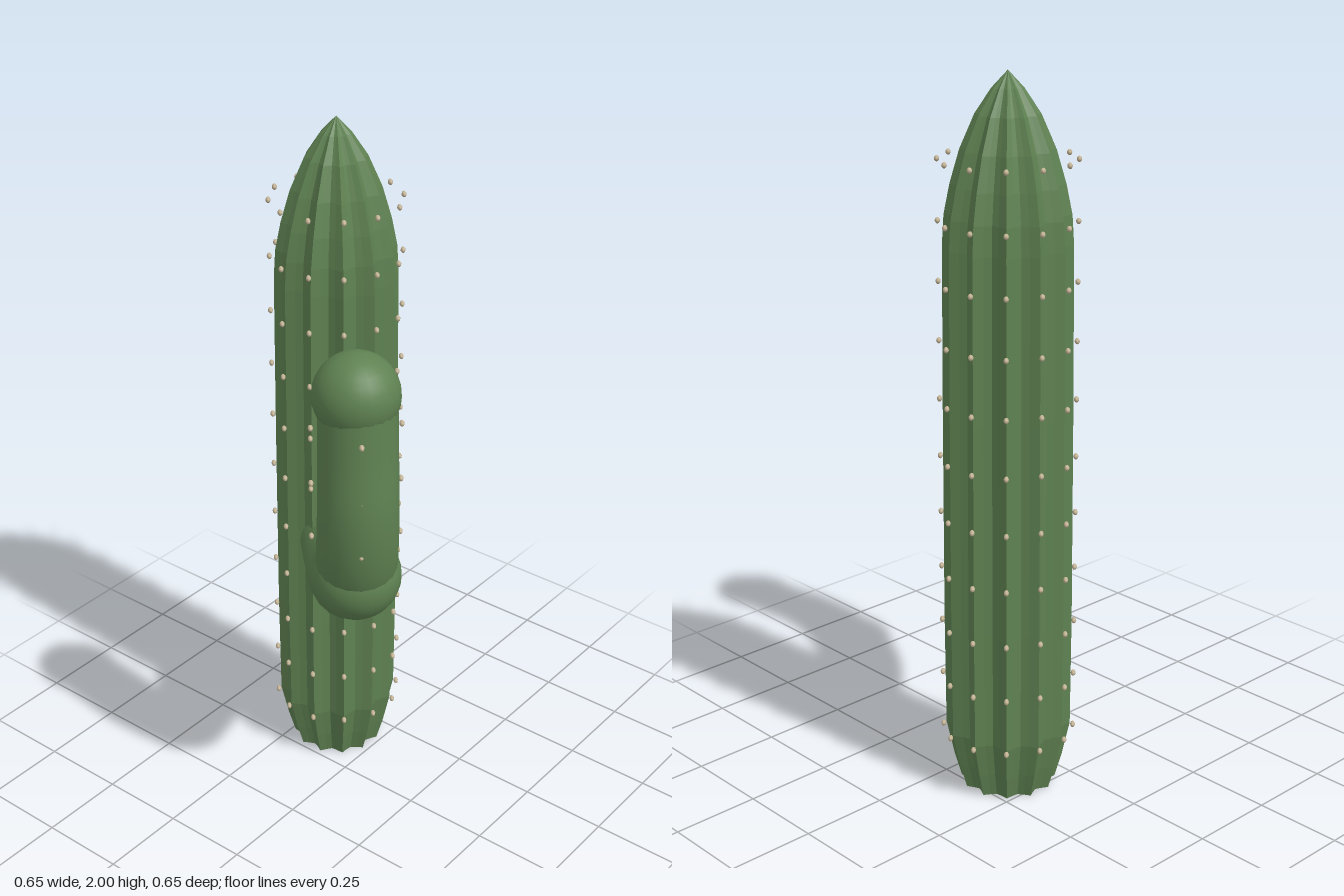
import * as THREE from 'three';

const green = new THREE.MeshStandardMaterial({ color: 0x5f8252, flatShading: true });
green.name = 'cactusGreenFaceted';
const smoothGreen = new THREE.MeshStandardMaterial({ color: 0x5f8252 });
smoothGreen.name = 'cactusGreen';
const tan = new THREE.MeshStandardMaterial({ color: 0xc4b496 });
tan.name = 'spineTan';
const brown = new THREE.MeshStandardMaterial({ color: 0x4a3526 });
brown.name = 'baseBrown';

const TX = 0.143, TZ = -0.144; // trunk axis
const AX = -0.2, AZ = 0.195;   // arm tip axis

function part(name, geometry, material, x = 0, y = 0, z = 0) {
  const mesh = new THREE.Mesh(geometry, material);
  mesh.name = name;
  mesh.position.set(x, y, z);
  return mesh;
}

// Twelve-ribbed column: a lathe whose radius is scaled by the rib shape
function trunkGeometry() {
  const profile = [[0.1, 0.02], [0.132, 0], [0.152, 0.07], [0.174, 0.17], [0.176, 0.5], [0.174, 1.1], [0.171, 1.55],
    [0.166, 1.63], [0.15, 1.71], [0.124, 1.8], [0.085, 1.89], [0.042, 1.955], [0, 2]];
  const ribs = [0.84, 0.895, 1, 0.895];
  const geo = new THREE.LatheGeometry(profile.map(([r, y]) => new THREE.Vector2(r, y)), 48);
  const p = geo.attributes.position;
  for (let i = 0; i < p.count; i++) {
    const k = ribs[Math.floor(i / profile.length) % 4];
    p.setXYZ(i, p.getX(i) * k, p.getY(i), p.getZ(i) * k);
  }
  geo.computeVertexNormals();
  return geo;
}

// Bent arm: a tube that narrows towards its tip
function armGeometry() {
  const path = new THREE.CatmullRomCurve3([[0.1, 0.765], [-0.02, 0.757], [-0.125, 0.81], [-0.19, 0.93],
    [-0.214, 1.1], [-0.207, 1.27], [-0.2, 1.43]].map(([x, y]) => new THREE.Vector3(x, y, -x)));
  const steps = 32, sides = 20;
  const geo = new THREE.TubeGeometry(path, steps, 1, sides);
  const p = geo.attributes.position, v = new THREE.Vector3();
  for (let i = 0; i < p.count; i++) {
    const t = Math.floor(i / (sides + 1)) / steps;
    const c = path.getPointAt(t);
    v.fromBufferAttribute(p, i).sub(c).multiplyScalar(0.119 - 0.015 * t).add(c);
    p.setXYZ(i, v.x, v.y, v.z);
  }
  geo.computeVertexNormals();
  return geo;
}

// Rings of small spines around a vertical axis
function spineRings(name, x, z, radius, count, firstAngle, heights) {
  const group = new THREE.Group();
  group.name = name;
  const geo = new THREE.SphereGeometry(1, 8, 6).scale(0.012, 0.008, 0.007).rotateY(Math.PI / 4);
  for (const y of heights) {
    for (let i = 0; i < count; i++) {
      const a = firstAngle + (i / count) * Math.PI * 2;
      group.add(part('spine', geo, tan, x + radius * Math.sin(a), y, z + radius * Math.cos(a)));
    }
  }
  return group;
}

export function createModel() {
  const model = new THREE.Group();
  model.name = 'cactus';

  model.add(part('trunk', trunkGeometry(), green, TX, 0, TZ));
  model.add(part('trunkBase', new THREE.CircleGeometry(0.1, 32).rotateX(Math.PI / 2), brown, TX, 0.021, TZ));

  model.add(part('arm', armGeometry(), smoothGreen));
  model.add(part('armElbow', new THREE.SphereGeometry(0.124, 24, 16), smoothGreen, -0.18, 0.875, 0.18));
  model.add(part('armTip', new THREE.SphereGeometry(0.116, 24, 16), smoothGreen, AX, 1.434, AZ));

  const trunkHeights = Array.from({ length: 11 }, (_, i) => 0.165 + i * 0.161);
  model.add(spineRings('trunkSpines', TX, TZ, 0.182, 12, Math.PI / 12, trunkHeights));
  model.add(spineRings('armSpines', AX, AZ, 0.118, 4, Math.PI / 4, [1.02, 1.182, 1.345]));

  return model;
}
